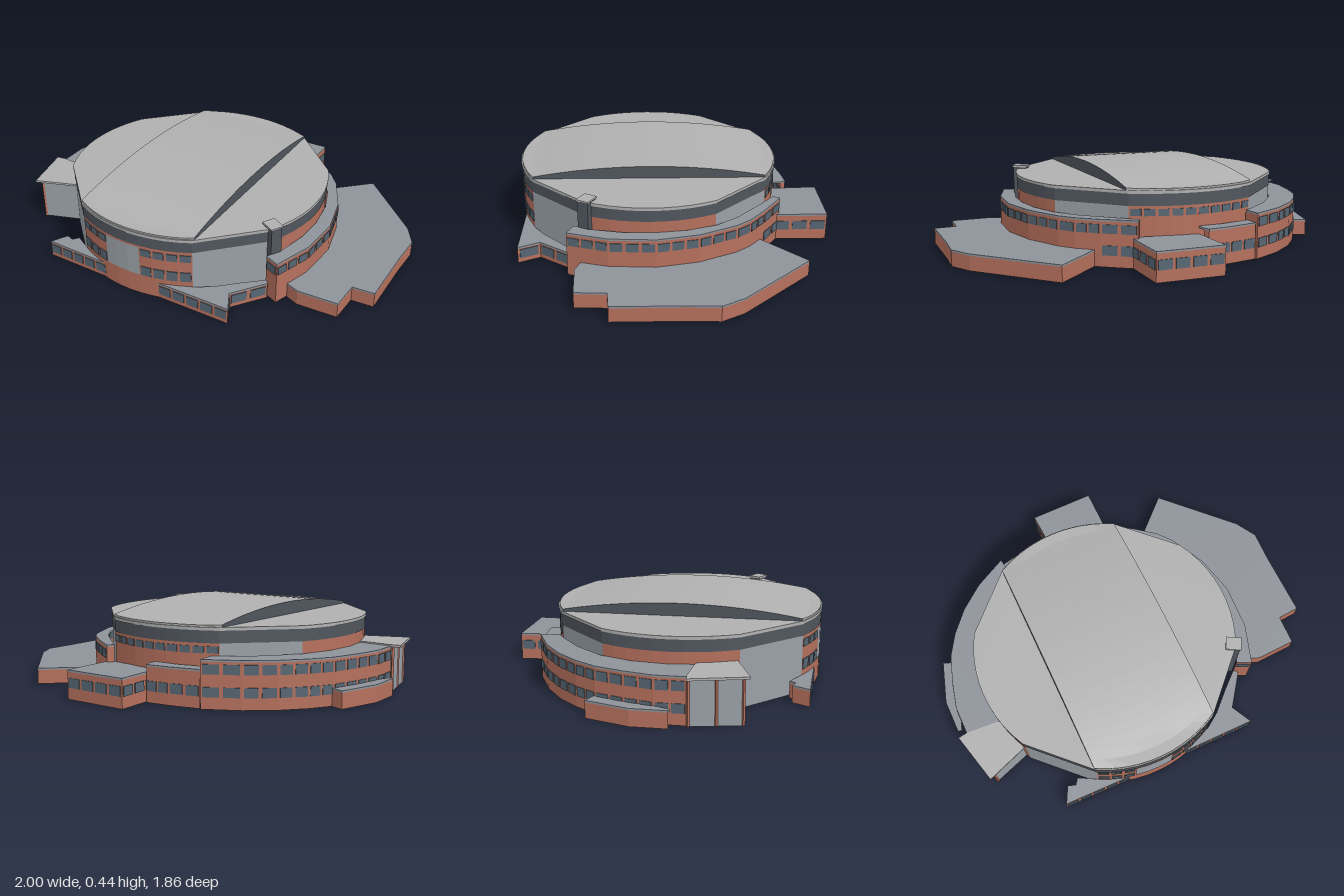
import * as THREE from 'three';

const CX = -0.1, CZ = -0.06, R = 0.71, HALF = 0.68; // bowl: a circle clipped by a square

const paint = (color) => new THREE.MeshStandardMaterial({ color, side: THREE.DoubleSide, flatShading: true });
const brick = paint(0xb5705c), glass = paint(0x566673), slate = paint(0x50565e);
const flatRoof = paint(0x8e9299), roofGrey = paint(0xb0b0b0), panel = paint(0x99a0a6);

export function createModel() {
  const root = new THREE.Group();

  function add(name, geometry, material, parent = root) {
    const mesh = new THREE.Mesh(geometry, material);
    mesh.name = name;
    parent.add(mesh);
    return mesh;
  }

  // Grid surface from rows of [x, y, z] points
  function grid(rows) {
    const n = rows[0].length, index = [];
    for (let i = 0; i < rows.length - 1; i++)
      for (let j = 0; j < n - 1; j++) {
        const a = i * n + j, b = a + n;
        index.push(a, a + 1, b, a + 1, b + 1, b);
      }
    const g = new THREE.BufferGeometry();
    g.setAttribute('position', new THREE.Float32BufferAttribute(rows.flat(2), 3));
    g.setIndex(index);
    const flat = g.toNonIndexed();
    flat.computeVertexNormals();
    return flat;
  }

  // Upright wall along a plan path of [x, z]
  const wall = (path, y0, y1) => grid([y0, y1].map((y) => path.map(([x, z]) => [x, y, z])));

  // Thin horizontal slab over a plan outline
  function slab(outline, y0, y1) {
    const shape = new THREE.Shape(outline.map(([x, z]) => new THREE.Vector2(x, -z)));
    const g = new THREE.ExtrudeGeometry(shape, { depth: y1 - y0, bevelEnabled: false });
    return g.rotateX(-Math.PI / 2).translate(0, y0, 0);
  }

  // Row of windows spaced along each stretch of a path
  function windows(path, y0, y1, parent, pitch = 0.085) {
    for (let i = 0; i < path.length - 1; i++) {
      const [x0, z0] = path[i], [x1, z1] = path[i + 1];
      const length = Math.hypot(x1 - x0, z1 - z0), count = Math.round(length / pitch);
      for (let k = 0; k < count; k++) {
        const t = (k + 0.5) / count;
        const pane = add('window', new THREE.BoxGeometry((length / count) * 0.8, y1 - y0, 0.008), glass, parent);
        pane.position.set(x0 + (x1 - x0) * t, (y0 + y1) / 2, z0 + (z1 - z0) * t);
        pane.rotation.y = -Math.atan2(z1 - z0, x1 - x0);
      }
    }
  }

  // Wing: brick along the outer path, flat roof reaching back along the inner path
  function wing(name, outer, inner, height) {
    const group = new THREE.Group();
    group.name = name;
    root.add(group);
    add(name + 'Wall', wall(outer, 0, height - 0.01), brick, group);
    add(name + 'Roof', slab([...outer, ...inner], height - 0.01, height), flatRoof, group);
    return group;
  }

  // Main bowl: four straight panelled sides joined by four brick arcs
  const a0 = Math.acos(HALF / R);
  const at = (a, r = R) => [CX + Math.cos(a) * r, CZ + Math.sin(a) * r];
  const bowlOutline = [];
  for (let q = 0; q < 4; q++) {
    const mid = (q * Math.PI) / 2, arc = [];
    const side = [at(mid - a0), at(mid + a0)];
    for (let i = 0; i <= 10; i++) arc.push(at(mid + a0 + ((Math.PI / 2 - 2 * a0) * i) / 10));
    bowlOutline.push(...arc);
    add('bowlPanel', wall(side, 0, 0.3), panel);
    add('bowlBrickWall', wall(arc, 0, 0.3), brick);
    if (q === 1) { // front-right corner of the plan: two rows around a tall glazed bay
      for (const part of [arc.slice(0, 5), arc.slice(7)]) {
        windows(part, 0.12, 0.175, root, 0.09);
        windows(part, 0.24, 0.28, root, 0.09);
      }
      for (let i = 4; i < 7; i++) {
        const [p, s] = [arc[i], arc[i + 1]].map(([x, z]) => [CX + (x - CX) * 1.004, CZ + (z - CZ) * 1.004]);
        add('glazedBay', wall([p, s], 0.12, 0.29), panel);
      }
    }
    if (q === 3) windows(arc, 0.25, 0.285, root, 0.09);
  }
  const grown = (k) => bowlOutline.map(([x, z]) => [CX + (x - CX) * k, CZ + (z - CZ) * k]);
  const band = grown(1.004);
  add('darkBand', wall([...band, band[0]], 0.3, 0.365), slate);
  add('roofDeck', slab(grown(1.01), 0.362, 0.378), roofGrey);

  // Raised vault: a diagonal strip arched along its length
  const V = 0.347, vaultPoint = (s, v) => {
    const u = s * Math.sqrt(R * R - v * v);
    const y = Math.max(0.387, 0.445 - 0.055 * (u / 0.62) ** 2);
    return [CX + (u + v) * Math.SQRT1_2, y, CZ + (v - u) * Math.SQRT1_2];
  };
  const steps = Array.from({ length: 25 }, (_, i) => -1 + i / 12);
  const cross = Array.from({ length: 13 }, (_, i) => -V + (2 * V * i) / 12);
  const drop = (line) => [line, line.map(([x, , z]) => [x, 0.375, z])];
  add('vaultRoof', grid(cross.map((v) => steps.map((s) => vaultPoint(s, v)))), roofGrey);
  for (const e of [-1, 1]) {
    add('vaultFascia', grid(drop(steps.map((s) => vaultPoint(s, e * V)))), slate);
    add('vaultEnd', grid(drop(cross.map((v) => vaultPoint(e, v)))), roofGrey);
  }

  // East gallery curving round the bowl
  const eastOuter = [[0.59, -0.33], [0.63, -0.34], [0.665, -0.15], [0.68, -0.02], [0.67, 0.08], [0.6, 0.29],
    [0.48, 0.48], [0.3, 0.64], [0.1, 0.74], [0.07, 0.66]];
  const eastInner = [[0.16, 0.63], [0.3, 0.54], [0.42, 0.43], [0.52, 0.3], [0.59, 0.15], [0.61, 0], [0.6, -0.2]];
  const east = wing('eastGallery', eastOuter, eastInner, 0.24);
  windows(eastOuter.slice(1), 0.17, 0.215, east);
  windows(eastOuter.slice(1, 3), 0.06, 0.11, east);

  // Rear gallery with two window rows
  const rearOuter = [[0.15, -0.74], [0.21, -0.82], [0.02, -0.88], [-0.15, -0.9], [-0.3, -0.89], [-0.43, -0.86],
    [-0.57, -0.79], [-0.7, -0.71], [-0.81, -0.6]];
  const rearInner = [[-0.69, -0.46], [-0.6, -0.57], [-0.46, -0.68], [-0.3, -0.75], [-0.1, -0.77], [0.1, -0.75]];
  const rear = wing('rearGallery', rearOuter, rearInner, 0.24);
  for (const y of [0.06, 0.17]) windows(rearOuter.slice(1), y, y + 0.048, rear);

  // Low rear porch, linking passage and square corner block
  wing('rearPorch', [[-0.79, -0.69], [-0.66, -0.82], [-0.45, -0.93], [-0.42, -0.86]],
    [[-0.57, -0.79], [-0.7, -0.71], [-0.78, -0.67]], 0.09);
  const linkOuter = [[0.21, -0.81], [0.35, -0.72], [0.45, -0.64], [0.44, -0.61]];
  const link = wing('linkPassage', linkOuter, [[0.4, -0.57], [0.3, -0.66], [0.16, -0.75]], 0.19);
  windows(linkOuter.slice(0, 3), 0.06, 0.11, link);
  const blockPath = [[0.4, -0.57], [0.575, -0.765], [0.83, -0.51], [0.62, -0.3], [0.58, -0.33]];
  const block = wing('cornerBlock', blockPath, [], 0.15);
  windows(blockPath.slice(0, 4), 0.06, 0.11, block);

  // Broad low annex outside the east gallery
  wing('lowAnnex', [[0.67, -0.12], [0.995, -0.11], [0.985, 0.4], [0.95, 0.53], [0.83, 0.64], [0.57, 0.9],
    [0.48, 0.82], [0.36, 0.93], [0.2, 0.78], [0.17, 0.71]],
  [[0.3, 0.64], [0.48, 0.48], [0.6, 0.29], [0.67, 0.08], [0.68, -0.02]], 0.085);

  // Pointed low wings at both ends of the straight front-left wall
  const sidePath = [[-0.78, 0.14], [-0.81, 0.035], [-0.85, 0.04], [-0.87, 0], [-0.965, 0.03], [-0.7, 0.31]];
  const sideWing = wing('sidePointWing', sidePath, [], 0.09);
  windows(sidePath.slice(4), 0.025, 0.075, sideWing);
  const frontPath = [[-0.47, 0.545], [-0.18, 0.84], [-0.14, 0.72], [0.07, 0.69]];
  const frontWing = wing('frontPointWing', frontPath,
    [[0.08, 0.66], [-0.05, 0.65], [-0.2, 0.645], [-0.3, 0.625]], 0.09);
  windows(frontPath, 0.025, 0.075, frontWing);
  add('straightWall', wall([[-0.7, 0.31], [-0.47, 0.545]], 0, 0.09), brick);

  // Glazed entrance under a pale canopy
  const entrance = [[-0.82, -0.6], [-0.96, -0.385], [-0.77, -0.29]];
  add('entranceGlazing', wall(entrance, 0, 0.235), panel);
  add('entranceCanopy', slab([[-0.85, -0.63], [-1, -0.38], [-0.78, -0.275], [-0.69, -0.46], [-0.81, -0.6]],
    0.235, 0.247), roofGrey);
  for (const [x, z] of [entrance[0], [-0.89, -0.49], entrance[1]])
    add('entrancePost', new THREE.BoxGeometry(0.012, 0.235, 0.012), brick).position.set(x, 0.1175, z);

  // Slim tower against the front
  const tower = new THREE.Group();
  tower.name = 'tower';
  tower.position.set(0.115, 0, 0.61);
  tower.rotation.y = 0.27;
  root.add(tower);
  add('towerShaft', new THREE.BoxGeometry(0.062, 0.385, 0.075), slate, tower).position.y = 0.1925;
  add('towerCap', new THREE.BoxGeometry(0.072, 0.01, 0.085), roofGrey, tower).position.y = 0.39;

  return root;
}
